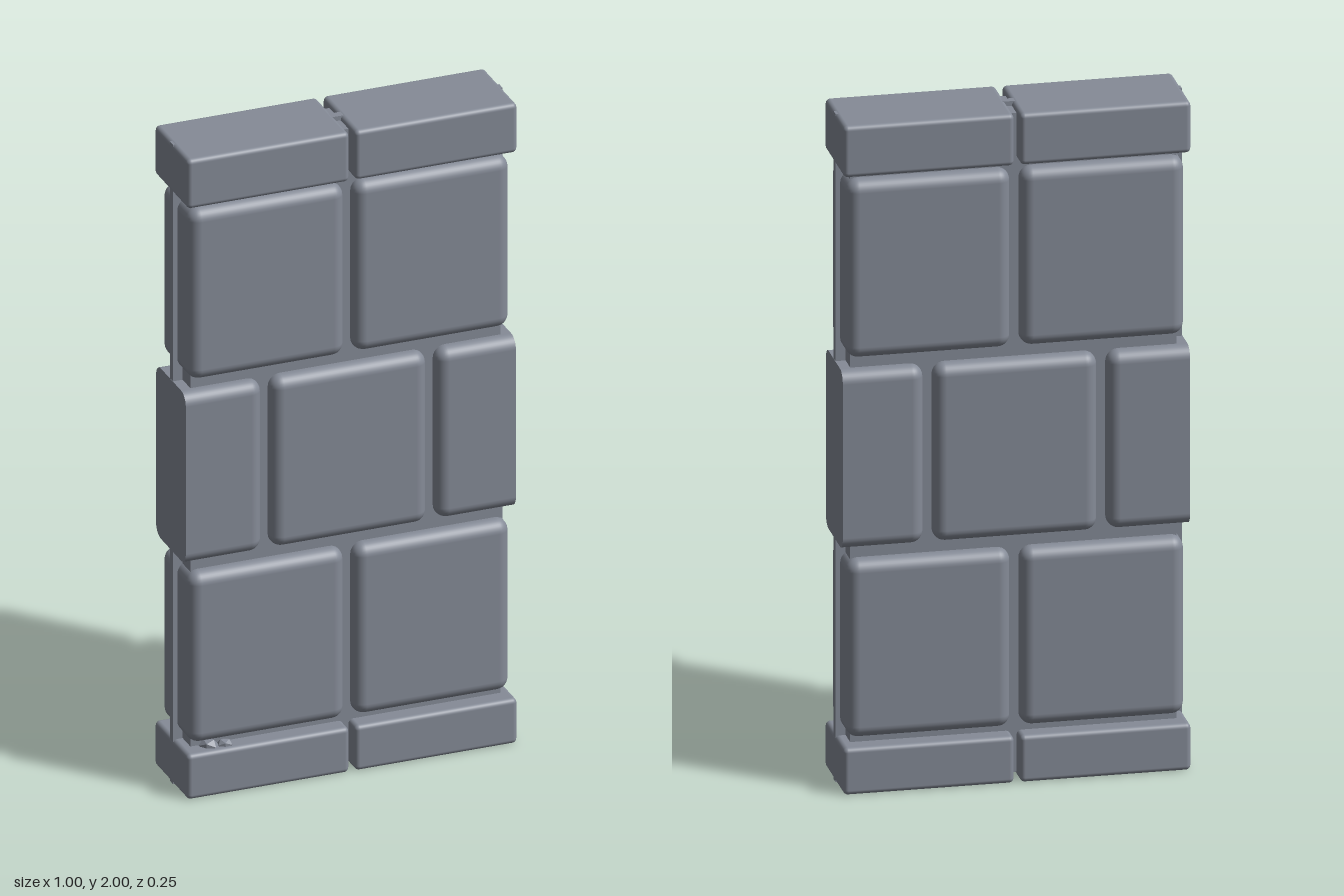
import * as THREE from 'three';
import { RoundedBoxGeometry } from 'three/addons/geometries/RoundedBoxGeometry.js';

const stone = new THREE.MeshStandardMaterial({ color: 0x858b97 });
stone.name = 'slateGrey';

function add(group, name, geometry) {
  const mesh = new THREE.Mesh(geometry, stone);
  mesh.name = name;
  group.add(mesh);
  return mesh;
}

// Rounded block given by its extents in x and y, centred on z = 0
function block(x0, x1, y0, y1, depth, radius) {
  const g = new RoundedBoxGeometry(x1 - x0, y1 - y0, depth, 4, radius);
  return g.translate((x0 + x1) / 2, (y0 + y1) / 2, 0);
}

// Slice a block flat at x = side * 0.5
function sliceEnd(g, side) {
  const p = g.attributes.position, n = g.attributes.normal;
  for (let t = 0; t < p.count; t += 3) {
    const beyond = [0, 1, 2].map((k) => p.getX(t + k) * side > 0.5);
    const flat = beyond.every(Boolean);
    for (let k = 0; k < 3; k++) {
      if (!beyond[k]) continue;
      const i = t + k;
      p.setX(i, side * 0.5);
      const v = new THREE.Vector3(0, n.getY(i), n.getZ(i)).normalize();
      if (flat) v.set(side, 0, 0);
      n.setXYZ(i, v.x, v.y, v.z);
    }
  }
  return g;
}

export function createModel() {
  const wall = new THREE.Group();
  wall.name = 'stoneWallPanel';

  // Mortar core and the thin tongue running round its edge
  add(wall, 'mortarCore', new THREE.BoxGeometry(0.94, 1.97, 0.145)).position.y = 1;
  add(wall, 'edgeTongue', new THREE.BoxGeometry(0.998, 1.998, 0.025)).position.set(0, 1, 0.001);

  for (const side of [-1, 1]) {
    const label = side > 0 ? 'left' : 'right';
    const span = (a, b) => (side > 0 ? [a, b] : [-b, -a]);

    // Long cap stones at the top and foot
    add(wall, label + 'TopCap', block(...span(0.009, 0.5), 1.846, 2, 0.254, 0.014));
    add(wall, label + 'FootCap', block(...span(0.009, 0.5), 0, 0.14, 0.254, 0.014));

    // Whole bricks of the upper and lower courses
    add(wall, label + 'UpperBrick', block(...span(0.014, 0.486), 1.295, 1.828, 0.226, 0.036));
    add(wall, label + 'LowerBrick', block(...span(0.014, 0.486), 0.16, 0.692, 0.226, 0.036));

    // Half bricks of the middle course, cut flush with the panel end
    const half = block(...span(0.264, 0.736), 0.728, 1.26, 0.226, 0.036);
    add(wall, label + 'HalfBrick', sliceEnd(half, side));
  }
  add(wall, 'middleBrick', block(-0.236, 0.236, 0.728, 1.26, 0.226, 0.036));

  // Small chips of rubble resting on the foot cap
  for (const [x, z, s] of [[-0.42, 0.085, 1], [-0.375, 0.095, 0.8]]) {
    const chip = add(wall, 'rubbleChip', new THREE.IcosahedronGeometry(0.03, 0));
    chip.position.set(x, 0.142, z);
    chip.scale.set(s, 0.7 * s, 0.8 * s);
    chip.rotation.y = x * 9;
  }
  return wall;
}
